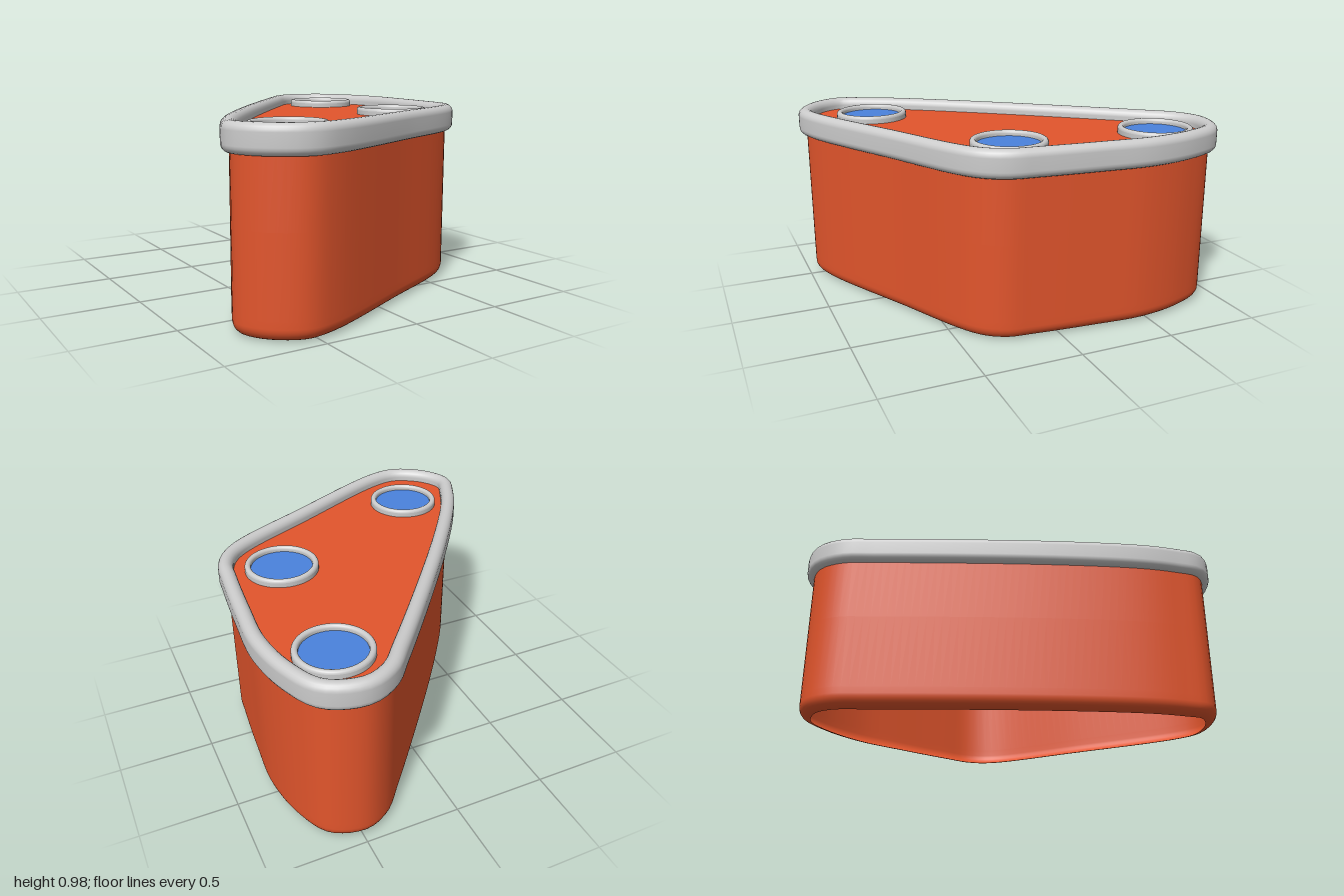
import * as THREE from 'three';

const grey = new THREE.MeshStandardMaterial({ color: 0xcccccc });
const red = new THREE.MeshStandardMaterial({ color: 0xe2552c, side: THREE.DoubleSide });
const blue = new THREE.MeshStandardMaterial({ color: 0x4a82dd });

// Plan outline of the wall as (x, z), running clockwise seen from above
const plan = [
  [0.48, -0.96], [0.66, -0.9], [0.755, -0.725], [0.805, -0.47], [0.792, -0.2], [0.762, 0.13],
  [0.74, 0.275], [0.65, 0.405], [0.15, 0.668], [-0.4, 0.93], [-0.55, 0.957], [-0.66, 0.915],
  [-0.76, 0.825], [-0.808, 0.71], [-0.765, 0.59], [-0.677, 0.42], [-0.385, 0.0], [0.22, -0.765], [0.345, -0.905],
];
const curve = new THREE.CatmullRomCurve3(plan.map(([x, z]) => new THREE.Vector3(x, 0, z)), true, 'centripetal');
const SEGMENTS = 128;

// Sweeps a profile of [outward offset, height] points around the outline
function sweep(profile, closed) {
  const positions = [], indices = [], n = profile.length;
  for (let i = 0; i < SEGMENTS; i++) {
    const p = curve.getPointAt(i / SEGMENTS), t = curve.getTangentAt(i / SEGMENTS);
    for (const [offset, y] of profile) positions.push(p.x + t.z * offset, y, p.z - t.x * offset);
  }
  for (let i = 0; i < SEGMENTS; i++) {
    const next = (i + 1) % SEGMENTS;
    for (let j = 0; j < (closed ? n : n - 1); j++) {
      const k = (j + 1) % n;
      const a = i * n + j, b = i * n + k, c = next * n + k, d = next * n + j;
      indices.push(a, b, d, b, c, d);
    }
  }
  const geometry = new THREE.BufferGeometry();
  geometry.setAttribute('position', new THREE.Float32BufferAttribute(positions, 3));
  geometry.setIndex(indices);
  geometry.computeVertexNormals();
  return geometry;
}

// Upright capsule cross-section, anticlockwise
function capsule(radius, halfHeight, steps) {
  const points = [];
  for (let i = 0; i <= steps; i++) {
    const a = (i / steps) * Math.PI;
    points.push([radius * Math.cos(a), halfHeight - radius + radius * Math.sin(a)]);
  }
  return [...points, ...points.map(([x, y]) => [-x, -y])];
}

export function createModel() {
  const group = new THREE.Group();
  const add = (name, geometry, material, x = 0, y = 0, z = 0) => {
    const mesh = new THREE.Mesh(geometry, material);
    mesh.name = name;
    mesh.position.set(x, y, z);
    group.add(mesh);
  };
  const deckY = 0.915;

  // Thin wall, open below, curling inward at the foot
  const wall = [];
  for (let i = 0; i <= 8; i++) {
    const a = (i / 8) * Math.PI / 2;
    wall.push([-0.065 + 0.065 * Math.sin(a), 0.065 - 0.065 * Math.cos(a)]);
  }
  wall.push([0, 0.1], [0, 0.5], [0, deckY]);
  add('wall', sweep(wall, false), red);

  // Flat deck closing the top
  const shape = new THREE.Shape(curve.getSpacedPoints(SEGMENTS).slice(0, -1).map((p) => new THREE.Vector2(p.x, -p.z)));
  add('deck', new THREE.ShapeGeometry(shape).rotateX(-Math.PI / 2), red, 0, deckY, 0);

  // Rounded bumper rim
  add('rim', sweep(capsule(0.04, 0.073, 10), true), grey, 0, 0.903, 0);

  // Round pads, each in a raised ring
  const ringProfile = capsule(0.016, 0.03, 8).map(([x, y]) => new THREE.Vector2(0.179 + x, y));
  ringProfile.push(ringProfile[0].clone());
  for (const [x, z] of [[0.51, -0.665], [0.47, 0.153], [-0.466, 0.6]]) {
    add('pad', new THREE.CylinderGeometry(0.175, 0.175, 0.024, 48), blue, x, deckY, z);
    add('padRing', new THREE.LatheGeometry(ringProfile, 48), grey, x, deckY + 0.01, z);
  }
  return group;
}
